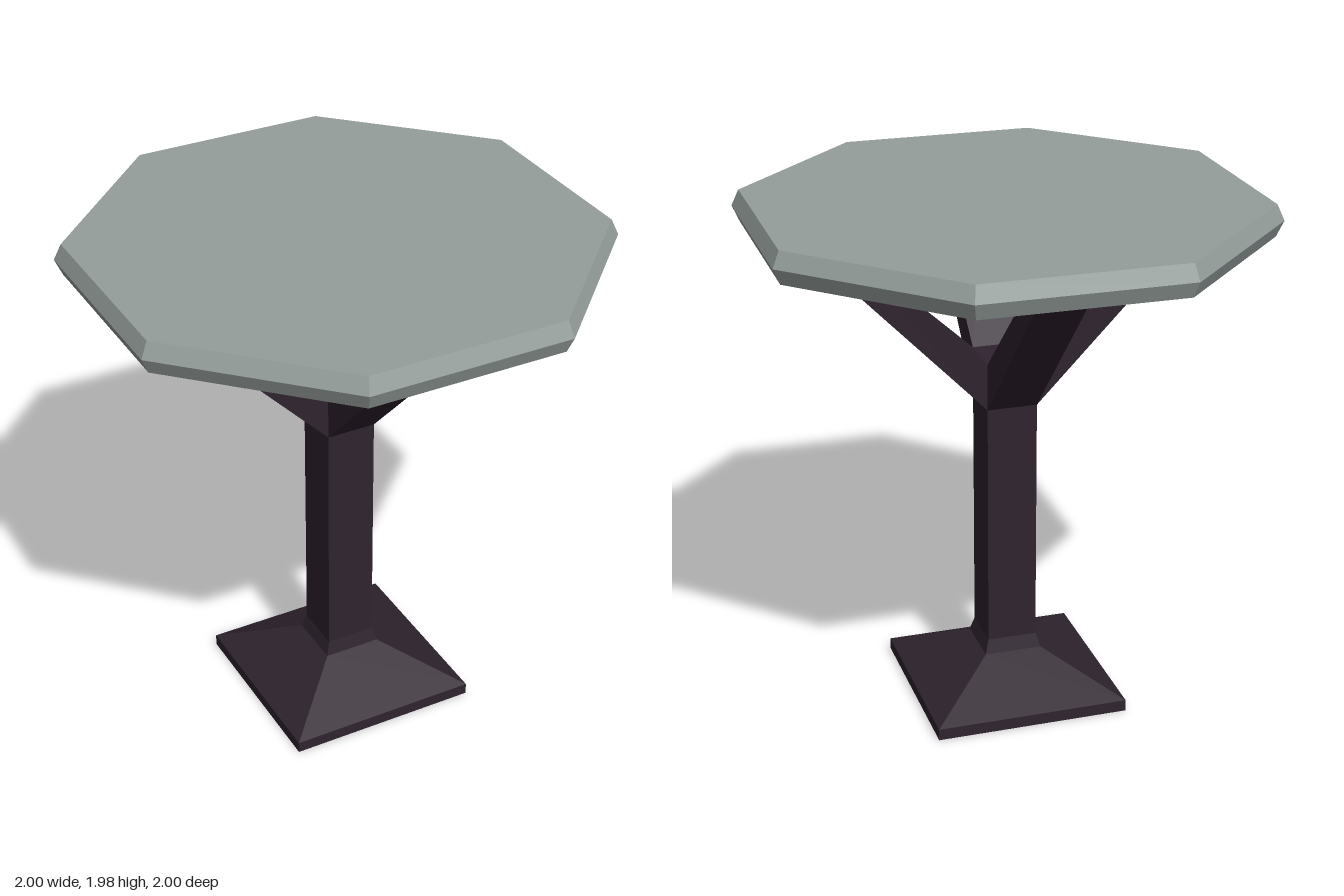
import * as THREE from 'three';

export function createModel() {
  const model = new THREE.Group();
  model.name = 'table';

  const material = (name, color, side = THREE.FrontSide) => {
    const m = new THREE.MeshStandardMaterial({ color, flatShading: true, side });
    m.name = name;
    return m;
  };
  const stone = material('greyStone', 0x949e9b);
  const wood = material('darkWood', 0x2e232e);

  // Solid with flat sides, turned from [radius, height] pairs listed upwards
  const turned = (name, profile, sides, start, mat) => {
    const points = profile.map(([r, y]) => new THREE.Vector2(r, y));
    const mesh = new THREE.Mesh(new THREE.LatheGeometry(points, sides, start), mat);
    mesh.name = name;
    model.add(mesh);
  };

  // Octagonal top with a bevelled rim
  turned('tableTop', [[0, 1.86], [0.972, 1.86], [1, 1.92], [0.972, 1.98], [0, 1.98]], 8, 0, stone);

  // Square foot and post, turned 22.5 degrees from the axes
  const twist = Math.PI / 8;
  turned('foot', [[0, 0], [0.527, 0], [0.527, 0.045], [0.157, 0.185], [0.135, 0.24]], 4, 3 * twist, wood);
  turned('post', [[0.135, 0.24], [0.135, 1.38], [0, 1.38]], 4, 3 * twist, wood);

  // Arm: four-cornered sections [outer z, outer y, inner z, inner y, half width]
  const sections = [
    [0.0955, 1.2, 0.0955, 1.38, 0.0955],
    [0.69, 1.817, 0.555, 1.805, 0.0955],
    [0.78, 1.86, 0.55, 1.86, 0.126],
  ];
  const positions = [];
  const indices = [];
  sections.forEach(([zo, yo, zi, yi, w], s) => {
    positions.push(w, yo, zo, w, yi, zi, -w, yi, zi, -w, yo, zo);
    if (s === 0) return;
    for (let i = 0; i < 4; i++) {
      const a = (s - 1) * 4 + i;
      const b = (s - 1) * 4 + (i + 1) % 4;
      indices.push(a, b, b + 4, a, b + 4, a + 4);
    }
  });
  const indexed = new THREE.BufferGeometry();
  indexed.setAttribute('position', new THREE.Float32BufferAttribute(positions, 3));
  indexed.setIndex(indices);
  const armGeometry = indexed.toNonIndexed();
  armGeometry.computeVertexNormals();

  // One arm from each side of the post
  for (let i = 0; i < 4; i++) {
    const arm = new THREE.Mesh(armGeometry, wood);
    arm.name = `supportArm${i + 1}`;
    arm.rotation.y = twist + i * Math.PI / 2;
    model.add(arm);
  }

  return model;
}
